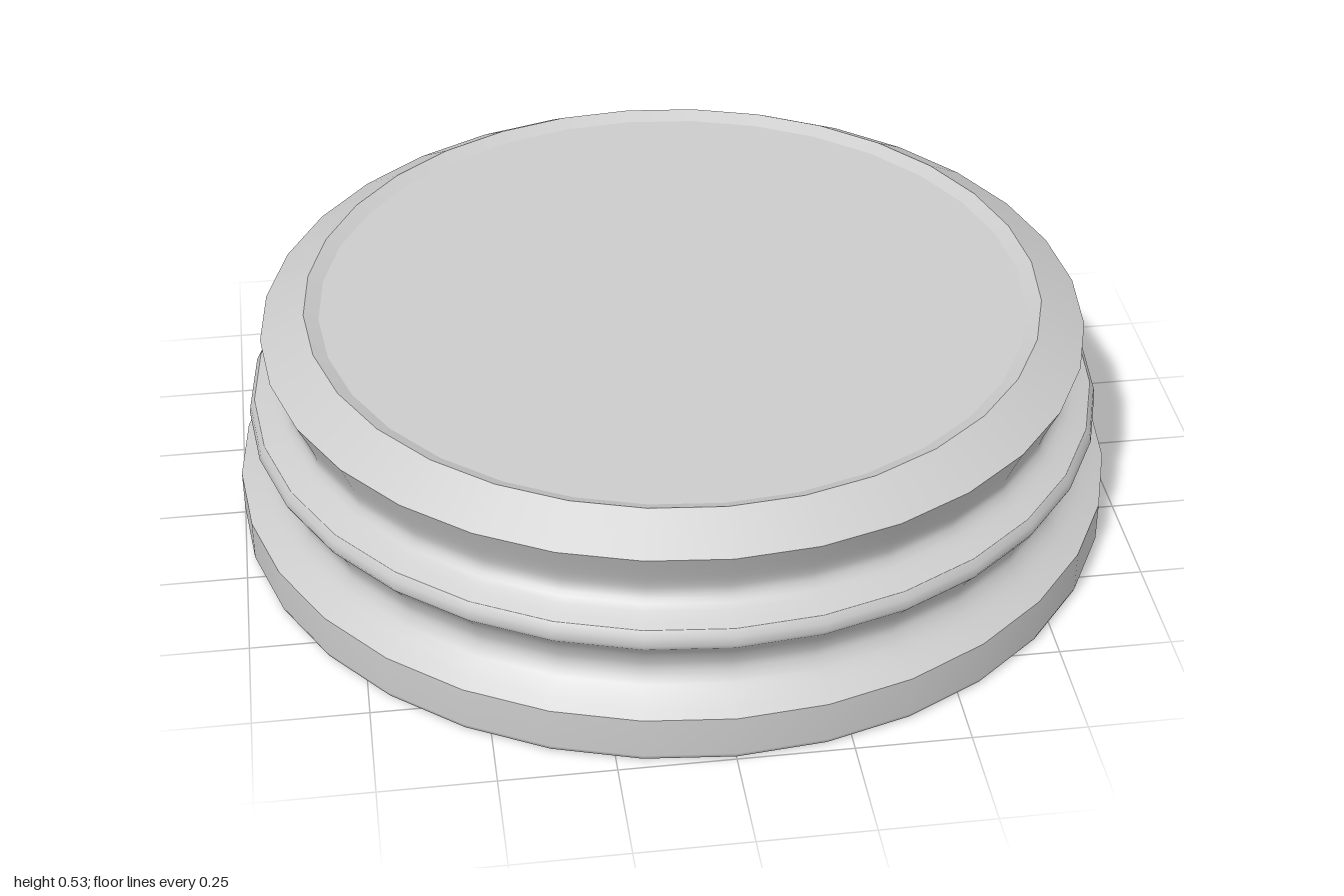
import * as THREE from 'three';

const SIDES = 32;

export function createModel() {
  const group = new THREE.Group();
  const material = new THREE.MeshStandardMaterial({ color: 0xcccccc });

  // Profiles run bottom to top as [radius, height]; a new band starts at each sharp edge
  const toPoints = (profile) => profile.map(([r, y]) => new THREE.Vector2(r, y));
  const addBand = (name, profile, smoothSteps = 0) => {
    let points = toPoints(profile);
    if (smoothSteps) points = new THREE.SplineCurve(points).getPoints(smoothSteps);
    const mesh = new THREE.Mesh(new THREE.LatheGeometry(points, SIDES), material);
    mesh.name = name;
    group.add(mesh);
  };

  // Base disc with a slightly rounded foot
  addBand('underside', [[0, 0], [0.985, 0]]);
  addBand('baseRim', [[0.985, 0], [0.996, 0.004], [1, 0.015], [1, 0.11]]);

  // Two concave grooves separated by a rounded ridge
  addBand('lowerGroove', [
    [1, 0.11], [0.945, 0.145], [0.922, 0.175], [0.92, 0.2], [0.935, 0.235], [0.962, 0.268],
  ], 12);
  addBand('middleRidge', [[0.962, 0.268], [0.968, 0.28], [0.965, 0.298], [0.955, 0.313]]);
  addBand('upperGroove', [
    [0.955, 0.313], [0.91, 0.335], [0.892, 0.355], [0.89, 0.375], [0.902, 0.41], [0.93, 0.472],
  ], 12);

  // Sloping shoulder and shallow recessed top
  addBand('shoulder', [[0.93, 0.472], [0.83, 0.53]]);
  addBand('recessWall', [[0.83, 0.53], [0.797, 0.515]]);
  addBand('topFace', [[0.797, 0.515], [0, 0.515]]);

  return group;
}
